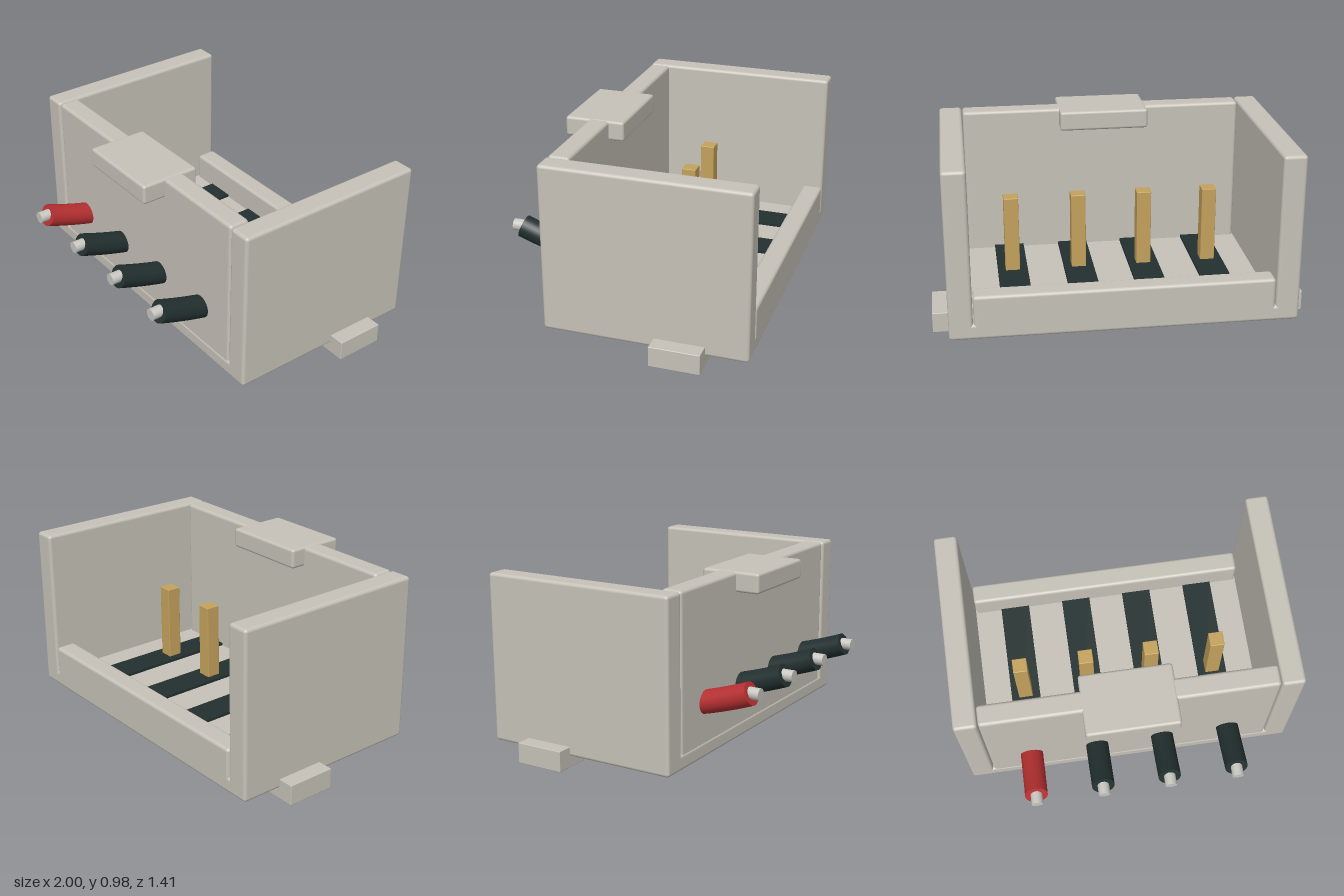
import * as THREE from 'three';
import { RoundedBoxGeometry } from 'three/addons/geometries/RoundedBoxGeometry.js';

const material = (name, color) => {
  const m = new THREE.MeshStandardMaterial({ color });
  m.name = name;
  return m;
};

export function createModel() {
  const housing = material('housing plastic', 0xc6c2b8);
  const dark = material('dark rubber', 0x22302f);
  const red = material('red insulation', 0xb83032);
  const brass = material('brass', 0xc4a25c);
  const tin = material('tinned core', 0xc8c6c0);

  const model = new THREE.Group();
  model.name = 'wireConnector';

  const add = (name, geometry, mat, parent = model) => {
    const mesh = new THREE.Mesh(geometry, mat);
    mesh.name = name;
    parent.add(mesh);
    return mesh;
  };

  // Box given by its extents, with rounded edges when r > 0
  const box = (name, mat, [x0, x1], [y0, y1], [z0, z1], r = 0) => {
    const size = [x1 - x0, y1 - y0, z1 - z0];
    const geometry = r
      ? new RoundedBoxGeometry(...size, 3, r)
      : new THREE.BoxGeometry(...size);
    geometry.translate((x0 + x1) / 2, (y0 + y1) / 2, (z0 + z1) / 2);
    return add(name, geometry, mat);
  };

  // Open-topped housing: floor, tall front wall and low back lip
  box('floor', housing, [-0.915, 0.915], [0.06, 0.145], [-0.7, 0.395], 0.018);
  box('frontWall', housing, [-0.786, 0.786], [0.065, 0.972], [0.275, 0.391], 0.018);
  box('backLip', housing, [-0.786, 0.786], [0.065, 0.3], [-0.7, -0.585], 0.018);
  box('latch', housing, [-0.25, 0.245], [0.866, 0.975], [0.19, 0.522], 0.015);

  // Side walls and mounting feet
  for (const [side, s] of [['left', 1], ['right', -1]]) {
    const span = (a, b) => [Math.min(s * a, s * b), Math.max(s * a, s * b)];
    box(side + 'Wall', housing, span(0.79, 0.915), [0.06, 0.972], [-0.7, 0.395], 0.018);
    box(side + 'Foot', housing, span(0.8, 1), [0, 0.112], [-0.475, -0.205], 0.004);
  }

  // Four contacts: floor strip, upright pin and bent wire with a bare end
  [-0.553, -0.186, 0.18, 0.55].forEach((x, i) => {
    const n = i + 1;
    box('contactStrip' + n, dark, [x - 0.083, x + 0.083], [0.14, 0.16], [-0.6, 0.29]);
    box('pin' + n, brass, [x - 0.04, x + 0.04], [0.15, 0.585], [-0.092, -0.012], 0.004);

    const wire = new THREE.Group();
    wire.name = 'wire' + n;
    wire.position.x = x;
    model.add(wire);
    const insulation = i === 0 ? red : dark;
    const path = new THREE.QuadraticBezierCurve3(
      new THREE.Vector3(0, 0.334, 0.3),
      new THREE.Vector3(0, 0.376, 0.48),
      new THREE.Vector3(0, 0.442, 0.653)
    );
    add('insulation', new THREE.TubeGeometry(path, 10, 0.062, 28), insulation, wire);

    // Flat cut face closing the insulation
    const cut = add('cutFace', new THREE.CircleGeometry(0.062, 28), insulation, wire);
    const end = path.getPoint(1);
    cut.position.copy(end);
    cut.lookAt(end.clone().add(path.getTangent(1)).add(new THREE.Vector3(x, 0, 0)).setX(x));
    cut.rotation.set(-Math.atan2(path.getTangent(1).y, path.getTangent(1).z), 0, 0);

    const core = new THREE.CylinderGeometry(0.032, 0.032, 0.105, 24);
    core.rotateX(Math.PI / 2).translate(0, 0.444, 0.653);
    add('bareCore', core, tin, wire);
  });

  return model;
}
